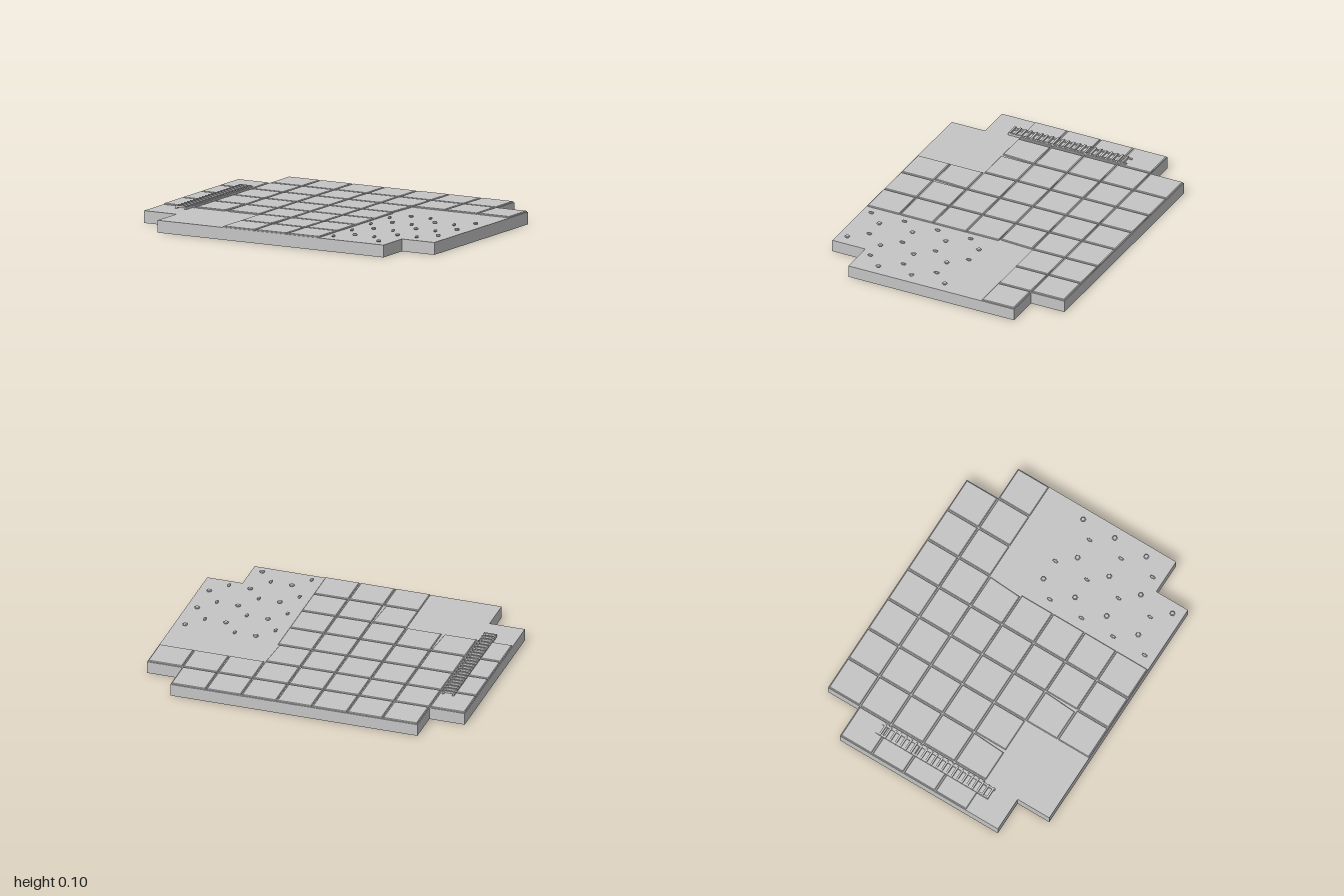
import * as THREE from 'three';

const CELL = 2 / 9;
const FLOOR = 0.075;

export function createModel() {
  const model = new THREE.Group();
  model.name = 'tiledFloor';
  const stone = new THREE.MeshStandardMaterial({ color: 0xc4c4c4 });
  stone.name = 'stone grey';

  const add = (geometry, name, x, y, z, parent = model) => {
    const mesh = new THREE.Mesh(geometry, stone);
    mesh.name = name;
    mesh.position.set(x, y, z);
    parent.add(mesh);
    return mesh;
  };
  const group = (name) => {
    const g = new THREE.Group();
    g.name = name;
    model.add(g);
    return g;
  };
  const polygon = (points) => new THREE.Shape(points.map(([x, y]) => new THREE.Vector2(x, y)));

  // Slab with a notch at each corner
  const a = 3.5 * CELL, b = 2.5 * CELL;
  const slab = new THREE.ExtrudeGeometry(polygon([
    [-a, -a], [a, -a], [a, -b], [1, -b], [1, b], [a, b],
    [a, a], [-a, a], [-a, b], [-1, b], [-1, -b], [-a, -b],
  ]), { depth: FLOOR, bevelEnabled: false }).rotateX(-Math.PI / 2);
  add(slab, 'slab', 0, 0, 0);

  // Bevelled tiles; a chipped tile has its front right corner pulled in
  const tileGeometry = (chip) => {
    const bevel = 0.004, h = 0.107 - bevel;
    return new THREE.ExtrudeGeometry(
      polygon([[-h, -h], [h - chip, -h], [h, h], [-h, h]]),
      { depth: 0.004, bevelSize: bevel, bevelThickness: bevel, bevelSegments: 1 },
    ).rotateX(-Math.PI / 2);
  };
  const wholeTile = tileGeometry(0), chippedTile = tileGeometry(0.013);
  const chipped = ['2,5', '4,1', '5,3'];
  const columns = [[1, 7], [0, 8], [0, 5], [0, 5], [0, 5], [3, 5], [3, 5]];
  const tiles = group('tiles');
  columns.forEach(([first, last], row) => {
    for (let col = first; col <= last; col++) {
      const geometry = chipped.includes(`${row},${col}`) ? chippedTile : wholeTile;
      add(geometry, 'tile', (col - 4) * CELL, FLOOR, (row - 3) * CELL, tiles);
    }
  });

  // Small faceted pebbles: columns of round and of narrow ones
  const pebble = (rx, rz) => {
    const g = new THREE.SphereGeometry(1, 6, 4).toNonIndexed();
    g.scale(rx, 0.008, rz);
    g.computeVertexNormals();
    return g;
  };
  const round = pebble(0.017, 0.017), narrow = pebble(0.01, 0.019);
  const pebbles = group('pebbles');
  [
    [0.396, 0.046, 4, narrow], [0.486, -0.055, 4, round], [0.619, -0.055, 4, narrow],
    [0.708, 0.046, 4, round], [0.841, 0.046, 3, narrow], [0.931, -0.055, 3, round],
  ].forEach(([x, z, count, geometry]) => {
    for (let i = 0; i < count; i++) add(geometry, 'pebble', x, 0.084, z + i * CELL, pebbles);
  });

  // Ladder lying on the tiles
  const ladder = group('ladder');
  const rail = new THREE.BoxGeometry(0.012, 0.014, 0.79);
  add(rail, 'ladderRail', -0.868, 0.083, 0.01, ladder);
  add(rail, 'ladderRail', -0.802, 0.083, 0.015, ladder);
  const rung = new THREE.BoxGeometry(0.08, 0.012, 0.012);
  for (let i = 0; i < 22; i++) add(rung, 'ladderRung', -0.835, 0.09, 0.4 - i * 0.036, ladder);

  return model;
}
